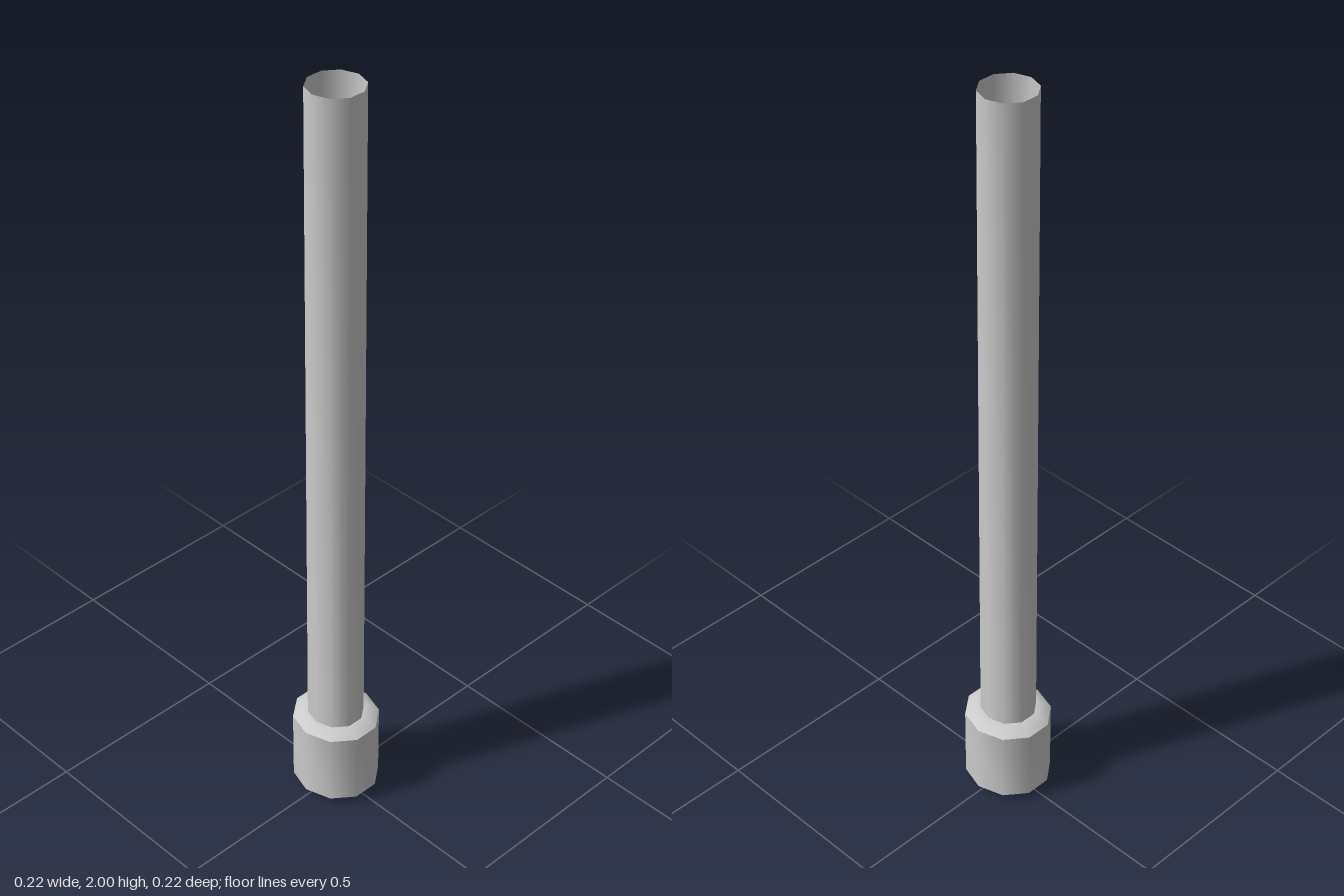
import * as THREE from 'three';
import { toCreasedNormals } from 'three/addons/utils/BufferGeometryUtils.js';

const SIDES = 10;

// Ten-sided turned shell with a corner on the x axis, slightly deeper in z than wide in x
function turned(name, profile, depth, x, z) {
  const points = profile.map(([r, y]) => new THREE.Vector2(r, y));
  const geometry = new THREE.LatheGeometry(points, SIDES, Math.PI / 2);
  const pos = geometry.attributes.position;
  for (let i = 0; i < pos.count; i++) {
    pos.setZ(i, pos.getZ(i) * depth(pos.getY(i)) + z);
    pos.setX(i, pos.getX(i) + x);
  }
  const material = new THREE.MeshStandardMaterial({ color: 0xcccccc, side: THREE.DoubleSide });
  const mesh = new THREE.Mesh(toCreasedNormals(geometry, THREE.MathUtils.degToRad(40)), material);
  mesh.name = name;
  return mesh;
}

export function createModel() {
  const model = new THREE.Group();
  model.name = 'post';

  // Bevelled foot with a closed underside
  const foot = [[0, 0], [0.088, 0], [0.108, 0.02], [0.108, 0.217], [0.087, 0.233], [0.069, 0.235]];
  model.add(turned('foot', foot, () => 1.07, 0, -0.001));

  // Hollow, open-topped pole, narrowing a little from front to back as it rises
  const pole = [[0.07, 0.232], [0.069, 2]];
  const narrowing = (y) => THREE.MathUtils.lerp(1.07, 1.01, (y - 0.232) / 1.768);
  model.add(turned('pole', pole, narrowing, -0.003, 0.001));

  return model;
}
